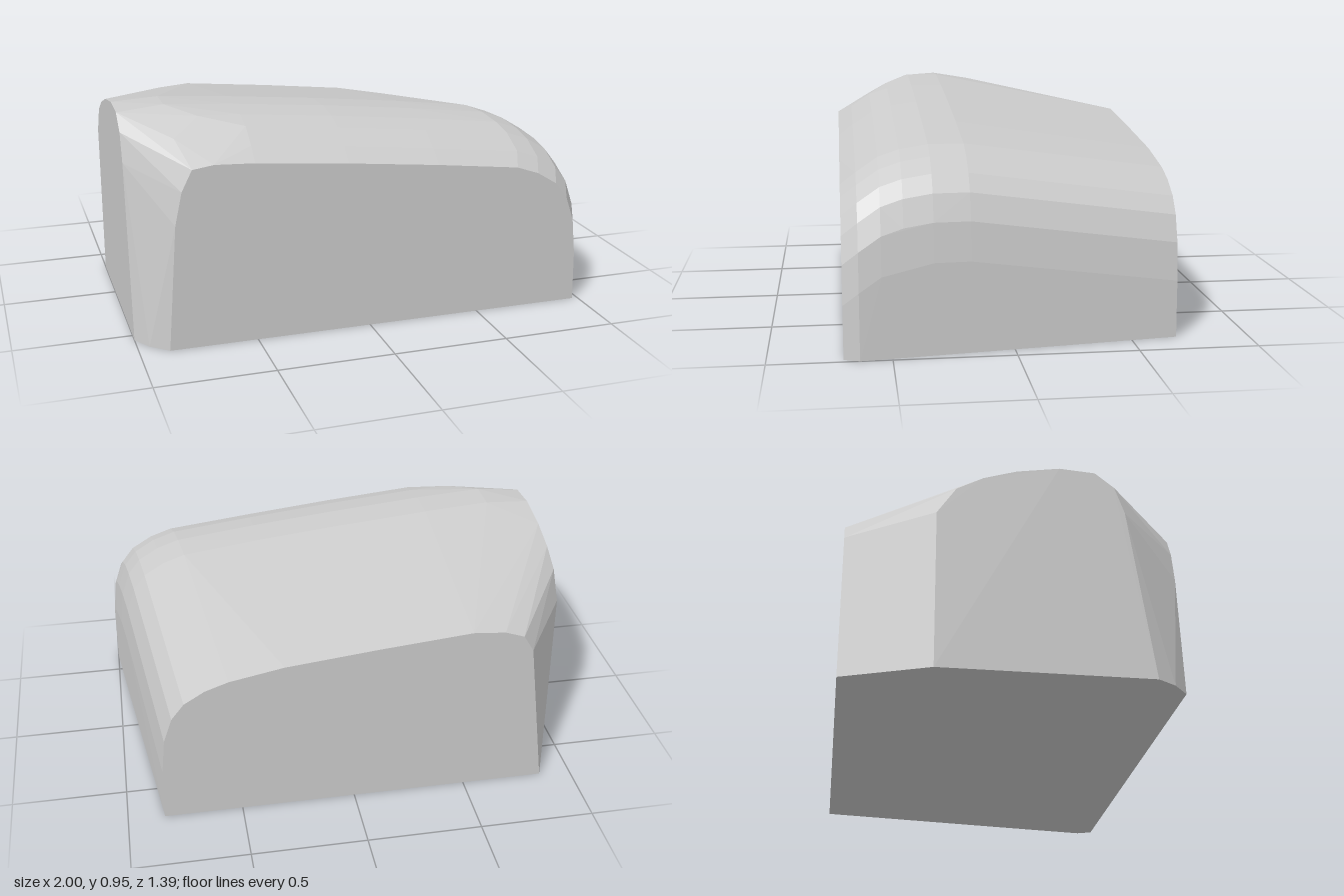
import * as THREE from 'three';
import { ConvexGeometry } from 'three/addons/geometries/ConvexGeometry.js';

// Stations along the block: z, x of the right wall, height of the right shoulder
const STATIONS = [
  [0.695, 0.975, 0.65], [0.63, 1, 0.705], [0.54, 0.99, 0.765], [0.45, 0.978, 0.793],
  [0.33, 0.965, 0.81], [0.18, 0.947, 0.808], [-0.695, 0.84, 0.672],
];

// Rounded right edge: inset from the wall, drop below the shoulder
const EDGE = [[0.305, 0], [0.205, 0.035], [0.115, 0.09], [0.06, 0.16], [0.022, 0.27], [0.005, 0.43]];

// Sloping roof: x, rise above the shoulder
const ROOF = [[0.3, 0.045], [-0.1, 0.088], [-0.5, 0.125]];

// Left side, cut off by a flat wall at x = -1: outline of that wall as z, y
const LEFT_WALL = [
  [0.55, 0], [0.45, 0.75], [0.41, 0.87], [0.33, 0.935], [0.18, 0.945],
  [0, 0.915], [-0.14, 0.87], [-0.25, 0.81], [-0.33, 0.69], [-0.33, 0],
];

// Left corners of the front and back faces: x, y
const FRONT_CORNER = [[-0.875, 0], [-0.835, 0.54], [-0.805, 0.68], [-0.76, 0.77], [-0.67, 0.783]];
const BACK_CORNER = [[-0.86, 0], [-0.77, 0.68], [-0.725, 0.755], [-0.64, 0.785]];

export function createModel() {
  const points = [];
  const add = (x, y, z) => points.push(new THREE.Vector3(x, y, z));

  // right wall, rounded edge and roof
  for (const [z, wall, shoulder] of STATIONS) {
    add(wall, 0, z);
    for (const [inset, drop] of EDGE) add(wall - inset, shoulder - drop, z);
    for (const [x, rise] of ROOF) add(x, shoulder + rise, z);
  }

  // left wall and the bevelled corners beside it
  for (const [z, y] of LEFT_WALL) add(-1, y, z);
  for (const [x, y] of FRONT_CORNER) add(x, y, 0.695);
  for (const [x, y] of BACK_CORNER) add(x, y, -0.695);
  add(-0.95, 0, 0.63);
  add(-0.8, 0.86, 0.54);
  add(-0.68, 0.925, 0.45);
  for (const z of [0.33, 0.18]) add(-0.8, 0.955, z);

  // one solid faceted block wrapped around the points
  const block = new THREE.Mesh(
    new ConvexGeometry(points),
    new THREE.MeshStandardMaterial({ color: 0xcccccc, flatShading: true }),
  );
  block.name = 'roundedBlock';

  const group = new THREE.Group();
  group.name = 'block';
  group.add(block);
  return group;
}
